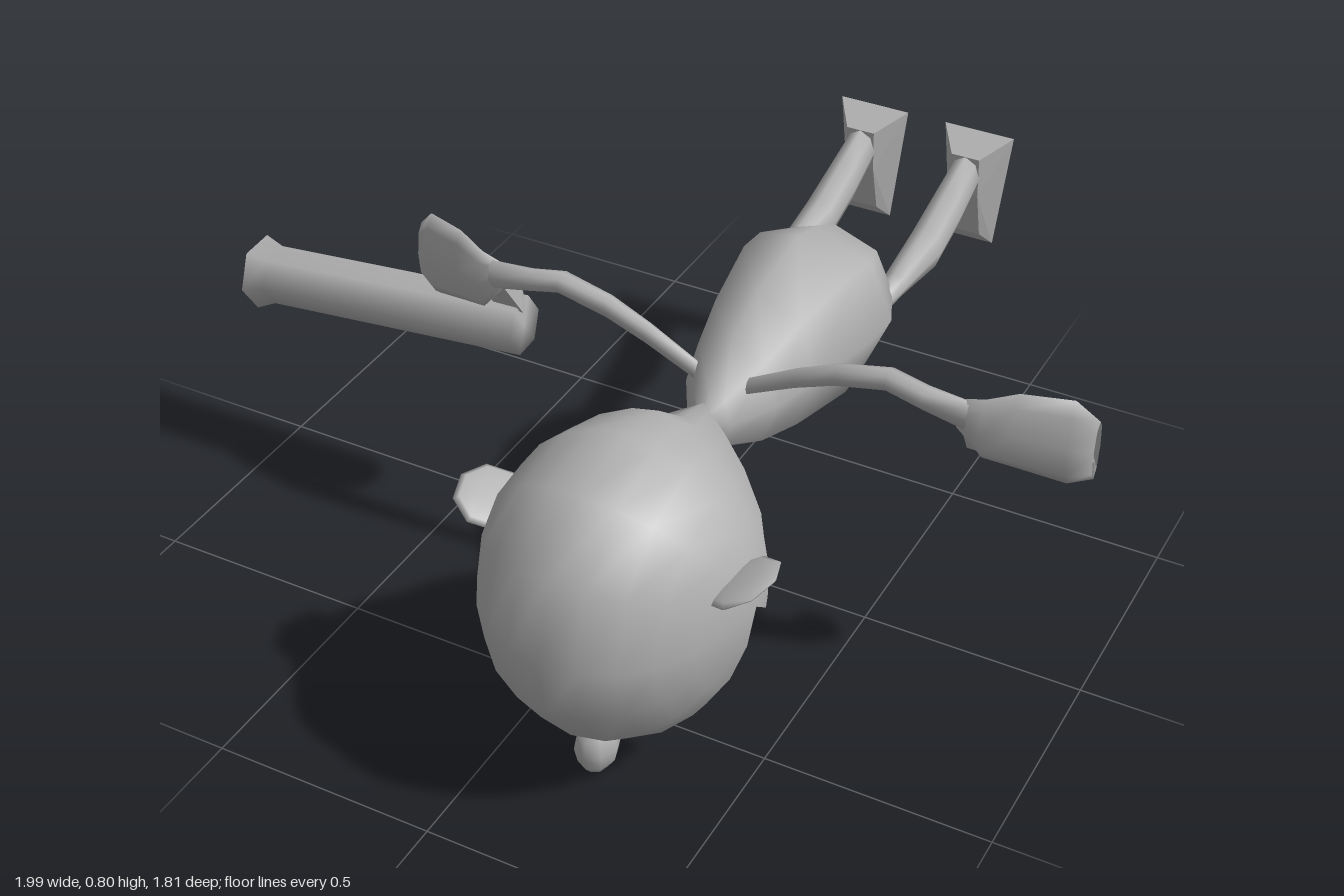
import * as THREE from 'three';
import { mergeVertices } from 'three/addons/utils/BufferGeometryUtils.js';
import { ConvexGeometry } from 'three/addons/geometries/ConvexGeometry.js';

const V = (x, y, z) => new THREE.Vector3(x, y, z);
const AXIS = 0.21; // x of the figure's plane of symmetry

function geometryFrom(points, index) {
  const g = new THREE.BufferGeometry().setFromPoints(points);
  g.setIndex(index);
  const merged = mergeVertices(g, 1e-5);
  merged.computeVertexNormals();
  return merged;
}

// Joins elliptical rings [centre, half axis a, half axis b]; a x b points along the loft
function loft(rings, sides) {
  const pts = [], idx = [];
  rings.forEach(([c, a, b], i) => {
    for (let j = 0; j < sides; j++) {
      const t = (j / sides) * Math.PI * 2;
      pts.push(c.clone().addScaledVector(a, Math.cos(t)).addScaledVector(b, Math.sin(t)));
      if (i === rings.length - 1) continue;
      const k = (j + 1) % sides, p = i * sides, q = p + sides;
      idx.push(p + j, p + k, q + j, p + k, q + k, q + j);
    }
  });
  const last = (rings.length - 1) * sides;
  pts.push(rings[0][0], rings[rings.length - 1][0]);
  for (let j = 0; j < sides; j++) {
    const k = (j + 1) % sides;
    idx.push(pts.length - 2, k, j, pts.length - 1, last + j, last + k);
  }
  return geometryFrom(pts, idx);
}

// Head as segments swung round the jaw hinge, leaving an open wedge for the mouth
function headGeometries() {
  // z, y of the side outline, then a power that narrows the segment
  const outline = [
    [0.605, 0.083, 1], [0.688, 0.107, 1], [0.785, 0.18, 1], [0.873, 0.307, 1],
    [0.902, 0.449, 1], [0.854, 0.624, 1], [0.727, 0.737, 1], [0.55, 0.766, 1.05],
    [0.42, 0.737, 1.2], [0.31, 0.65, 1.6], [0.224, 0.63, 2], [0.2, 0.52, 2],
    [0.22, 0.415, 1.5], [0.25, 0.31, 1.2], [0.283, 0.22, 1.1],
  ];
  const n = 12, hinge = V(AXIS, 0.44, 0.54), pts = [], idx = [];
  outline.forEach(([z, y, power], i) => {
    for (let k = 0; k <= n; k++) {
      const t = (k / n) * Math.PI, c = Math.cos(t), r = Math.sin(t);
      pts.push(V(AXIS + 0.28 * Math.sign(c) * Math.abs(c) ** power,
        hinge.y + (y - hinge.y) * r, hinge.z + (z - hinge.z) * r));
      if (k === n || i === outline.length - 1) continue;
      const p = i * (n + 1) + k, q = p + n + 1;
      idx.push(p, q, p + 1, q, q + 1, p + 1);
    }
  });
  // flat inner faces of the mouth
  const roof = [hinge, ...pts.slice(0, n + 1)];
  const floor = [hinge, ...pts.slice(-(n + 1))];
  const roofIdx = [], floorIdx = [];
  for (let k = 1; k <= n; k++) {
    roofIdx.push(0, k, k + 1);
    floorIdx.push(0, k + 1, k);
  }
  return {
    head: geometryFrom(pts, idx),
    mouthRoof: geometryFrom(roof, roofIdx),
    mouthFloor: geometryFrom(floor, floorIdx),
  };
}

export function createModel() {
  const model = new THREE.Group();
  const grey = new THREE.MeshStandardMaterial({ color: 0xb2b2b2 });
  grey.name = 'grey';
  const add = (name, geometry, parent = model) => {
    const mesh = new THREE.Mesh(geometry, grey);
    mesh.name = name;
    parent.add(mesh);
    return mesh;
  };

  // Head, mouth and nose
  for (const [name, g] of Object.entries(headGeometries())) add(name, g);
  const nose = add('nose', new THREE.SphereGeometry(1, 8, 6));
  nose.scale.set(0.045, 0.07, 0.06);
  nose.position.set(AXIS, 0.075, 0.68);

  // Body: z, centre height, half width, half height
  const body = [
    [0.24, 0.585, 0.015, 0.03], [0.2, 0.575, 0.05, 0.075], [0.1, 0.575, 0.105, 0.135],
    [-0.02, 0.58, 0.14, 0.18], [-0.21, 0.577, 0.18, 0.212], [-0.3, 0.58, 0.187, 0.185],
    [-0.4, 0.585, 0.145, 0.13], [-0.455, 0.58, 0.07, 0.05],
  ];
  add('body', loft(body.map(([z, y, w, h]) => [V(AXIS, y, z), V(0, h, 0), V(w, 0, 0)]), 8));

  // Legs: z, centre height, half width, half height
  const leg = [
    [-0.38, 0.575, 0.025, 0.03], [-0.44, 0.575, 0.03, 0.03], [-0.61, 0.575, 0.042, 0.055],
    [-0.73, 0.61, 0.04, 0.058], [-0.84, 0.65, 0.036, 0.053],
  ];
  // Arms: distance from axis, height, z, half height, half depth
  const arm = [
    [0.06, 0.64, 0.14, 0.02, 0.015], [0.17, 0.7, 0.145, 0.024, 0.018], [0.26, 0.74, 0.148, 0.025, 0.022],
    [0.37, 0.767, 0.15, 0.023, 0.026], [0.45, 0.75, 0.152, 0.025, 0.025], [0.54, 0.735, 0.15, 0.035, 0.02],
  ];
  const hand = [
    [0.52, 0.735, 0.15, 0.035, 0.018], [0.57, 0.71, 0.142, 0.07, 0.025],
    [0.63, 0.715, 0.125, 0.088, 0.028], [0.73, 0.695, 0.085, 0.1, 0.028],
    [0.775, 0.675, 0.06, 0.07, 0.02], [0.755, 0.67, 0.02, 0.05, 0.012],
  ];

  for (const [side, s] of [['left', 1], ['right', -1]]) {
    const hip = AXIS + s * 0.132;
    add(side + 'Leg', loft(leg.map(([z, y, w, h]) => [V(hip, y, z), V(0, h, 0), V(w, 0, 0)]), 8));

    // Flared foot with a flat sole
    const foot = [];
    for (const [w, y, z] of [[0.034, 0.7, -0.83], [0.034, 0.6, -0.838], [0.085, 0.73, -0.91],
      [0.055, 0.44, -0.91], [0.035, 0.48, -0.87]])
      foot.push(V(hip - w, y, z), V(hip + w, y, z));
    add(side + 'Foot', new ConvexGeometry(foot));

    const limb = rows => loft(rows.map(([d, y, z, h, w]) =>
      [V(AXIS + s * d, y, z), V(0, h, 0), V(0, 0, s * w)]), 8);
    add(side + 'Arm', limb(arm));
    add(side + 'Hand', limb(hand));

    // Thumb hangs below the palm
    const thumb = [];
    for (const [d, y, z] of [[0.52, 0.7, 0.14], [0.59, 0.7, 0.14], [0.515, 0.6, 0.075],
      [0.585, 0.6, 0.075], [0.53, 0.61, 0.045], [0.59, 0.64, 0.045], [0.53, 0.66, 0.05]])
      thumb.push(V(AXIS + s * d, y, z));
    add(side + 'Thumb', new ConvexGeometry(thumb));

    // Thin ear tilted outward
    const ear = add(side + 'Ear', new THREE.SphereGeometry(1, 8, 6));
    ear.scale.set(0.075, 0.014, 0.09);
    ear.position.set(AXIS + s * 0.28, 0.545, 0.6);
    ear.rotation.z = s * 0.45;
  }

  // Tube with flared, hollow end, held under the right hand
  const tube = new THREE.Group();
  tube.name = 'tube';
  model.add(tube);
  const start = V(-0.31, 0.56, 0.065), end = V(-0.995, 0.503, 0.085);
  const length = start.distanceTo(end);
  const profile = [[0, 0], [0.066, 0], [0.066, length - 0.045], [0.084, length],
    [0.07, length], [0.05, length - 0.04], [0, length - 0.04]];
  const barrel = new THREE.LatheGeometry(profile.map(p => new THREE.Vector2(...p)), 6);
  const mesh = add('barrel', barrel, tube);
  mesh.position.copy(start);
  mesh.quaternion.setFromUnitVectors(V(0, 1, 0), end.clone().sub(start).normalize());
  const grip = add('grip', new THREE.CylinderGeometry(0.024, 0.024, 0.14, 6), tube);
  grip.position.set(-0.43, 0.63, 0.07);

  return model;
}
